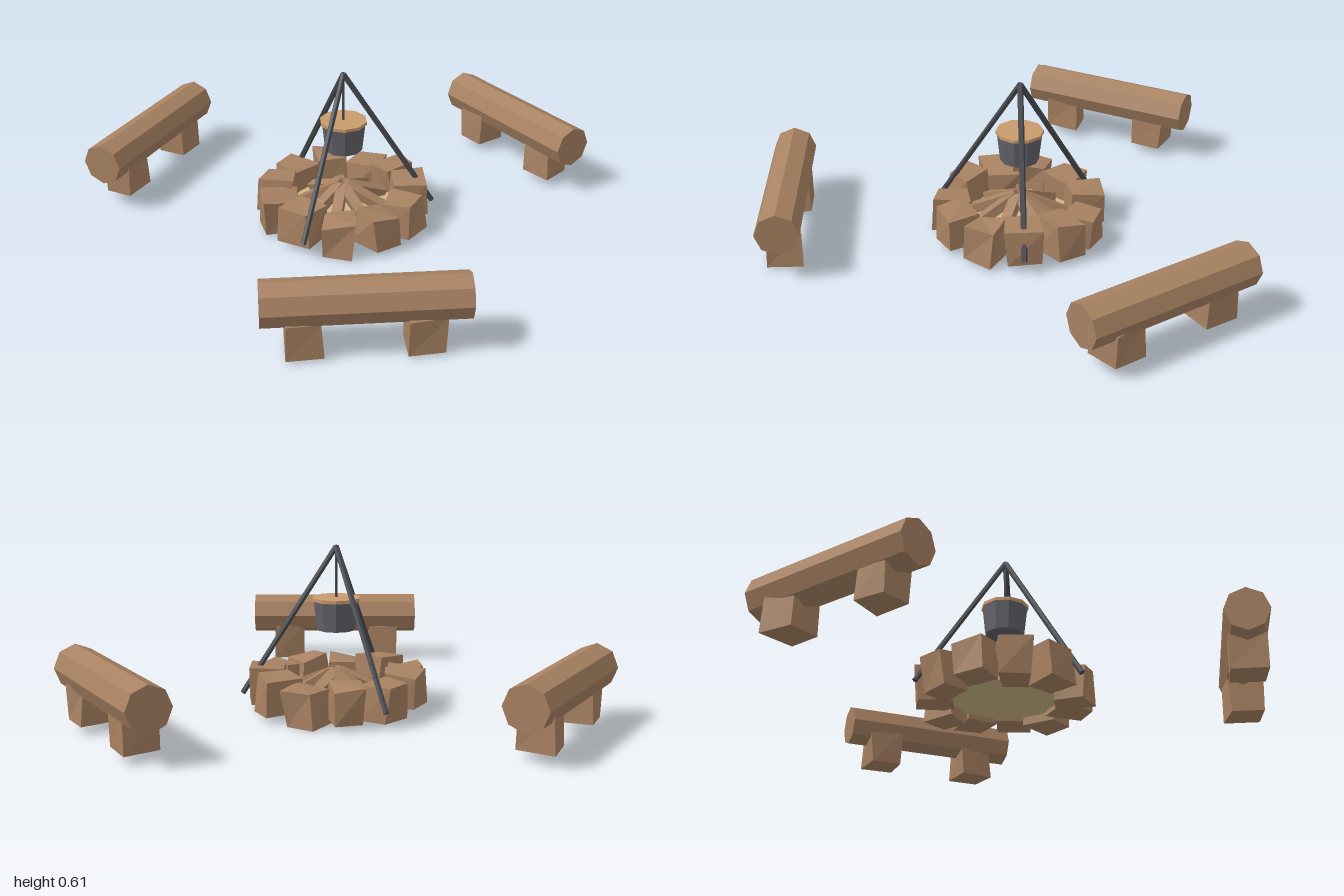
import * as THREE from 'three';

const mat = (name, color) => {
  const m = new THREE.MeshStandardMaterial({ color, flatShading: true });
  m.name = name;
  return m;
};

export function createModel() {
  const wood = mat('wood brown', 0xa88262);
  const straw = mat('straw', 0xccb785);
  const lidTan = mat('lid tan', 0xc89b6c);
  const iron = mat('dark iron', 0x4a4b50);
  const potGrey = mat('pot grey', 0x62626a);

  const root = new THREE.Group();
  root.name = 'campfire';
  const camp = new THREE.Group(); // everything is arranged round the fire
  camp.name = 'camp';
  camp.position.z = -0.09;
  root.add(camp);

  let seed = 11;
  const rand = () => {
    seed = (seed * 16807) % 2147483647;
    return seed / 2147483647 - 0.5;
  };

  const add = (parent, name, geo, material, x = 0, y = 0, z = 0) => {
    const mesh = new THREE.Mesh(geo, material);
    mesh.name = name;
    mesh.position.set(x, y, z);
    parent.add(mesh);
    return mesh;
  };

  // Rough-hewn block: each corner of a box is shifted once, bottom kept flat
  const roughBlock = (w, h, d, jitter) => {
    const geo = new THREE.BoxGeometry(w, h, d);
    const p = geo.attributes.position;
    const shifts = {};
    for (let i = 0; i < p.count; i++) {
      const key = [p.getX(i) > 0, p.getY(i) > 0, p.getZ(i) > 0].join();
      shifts[key] ??= [rand() * jitter, p.getY(i) > 0 ? rand() * jitter : 0, rand() * jitter];
      const s = shifts[key];
      p.setXYZ(i, p.getX(i) + s[0], p.getY(i) + s[1], p.getZ(i) + s[2]);
    }
    geo.computeVertexNormals();
    return geo;
  };

  // Straight rod between two points
  const rod = (parent, name, a, b, r, sides, material) => {
    const dir = b.clone().sub(a);
    const mesh = add(parent, name, new THREE.CylinderGeometry(r, r, dir.length(), sides), material);
    mesh.position.copy(a).add(b).multiplyScalar(0.5);
    mesh.quaternion.setFromUnitVectors(new THREE.Vector3(0, 1, 0), dir.normalize());
    return mesh;
  };

  // Three log benches
  for (let i = 0; i < 3; i++) {
    const bench = new THREE.Group();
    bench.name = 'bench';
    bench.rotation.y = (i * Math.PI * 2) / 3;
    const log = new THREE.CylinderGeometry(0.081, 0.081, 0.69, 8).rotateZ(Math.PI / 2);
    add(bench, 'benchLog', log, wood, 0, 0.195, 0.875);
    for (const x of [-0.2, 0.2]) {
      const bottom = i === 0 ? 0.01 : 0.03;
      const leg = add(bench, 'benchLeg', roughBlock(0.122, 0.13, 0.122, 0.02), wood, x, bottom + 0.065, 0.875);
      leg.rotation.y = rand() * 0.25;
    }
    camp.add(bench);
  }

  // Ring of eleven blocks
  for (let i = 0; i < 11; i++) {
    const a = (i * Math.PI * 2) / 11;
    const bottom = [0.03, 0.01, 0.02, 0, 0.025, 0.01][i % 6];
    const block = add(camp, 'ringBlock', roughBlock(0.125, 0.13, 0.12, 0.03), wood,
      Math.cos(a) * 0.255, bottom + 0.065, Math.sin(a) * 0.255);
    block.rotation.y = -a + rand() * 0.3;
  }

  // Straw bed
  const bed = add(camp, 'strawBed', new THREE.CylinderGeometry(0.21, 0.21, 0.02, 8), straw, 0, 0.05, 0);
  bed.rotation.y = Math.PI / 8;

  // Leaning firewood
  for (let i = 0; i < 9; i++) {
    const stick = new THREE.Group();
    stick.name = 'firewood';
    stick.rotation.y = (i * Math.PI * 2) / 9 + 0.3 + rand() * 0.2;
    const piece = add(stick, 'firewoodPiece', new THREE.BoxGeometry(0.18, 0.035, 0.04), wood, 0.095, 0.105, 0);
    piece.rotation.set(rand() * 0.5, 0, -0.42);
    camp.add(stick);
  }

  // Tripod
  const apex = new THREE.Vector3(0, 0.605, 0);
  for (let i = 0; i < 3; i++) {
    const a = (i * Math.PI * 2) / 3;
    rod(camp, 'tripodLeg', apex, new THREE.Vector3(Math.cos(a) * 0.345, 0.06, Math.sin(a) * 0.345), 0.011, 6, iron);
  }

  // Hanging pot
  rod(camp, 'hangingRod', apex, new THREE.Vector3(0, 0.41, 0), 0.005, 6, iron);
  add(camp, 'pot', new THREE.CylinderGeometry(0.085, 0.073, 0.108, 10), potGrey, 0, 0.354, 0);
  add(camp, 'potLid', new THREE.CylinderGeometry(0.09, 0.09, 0.012, 10), lidTan, 0, 0.413, 0);

  return root;
}
